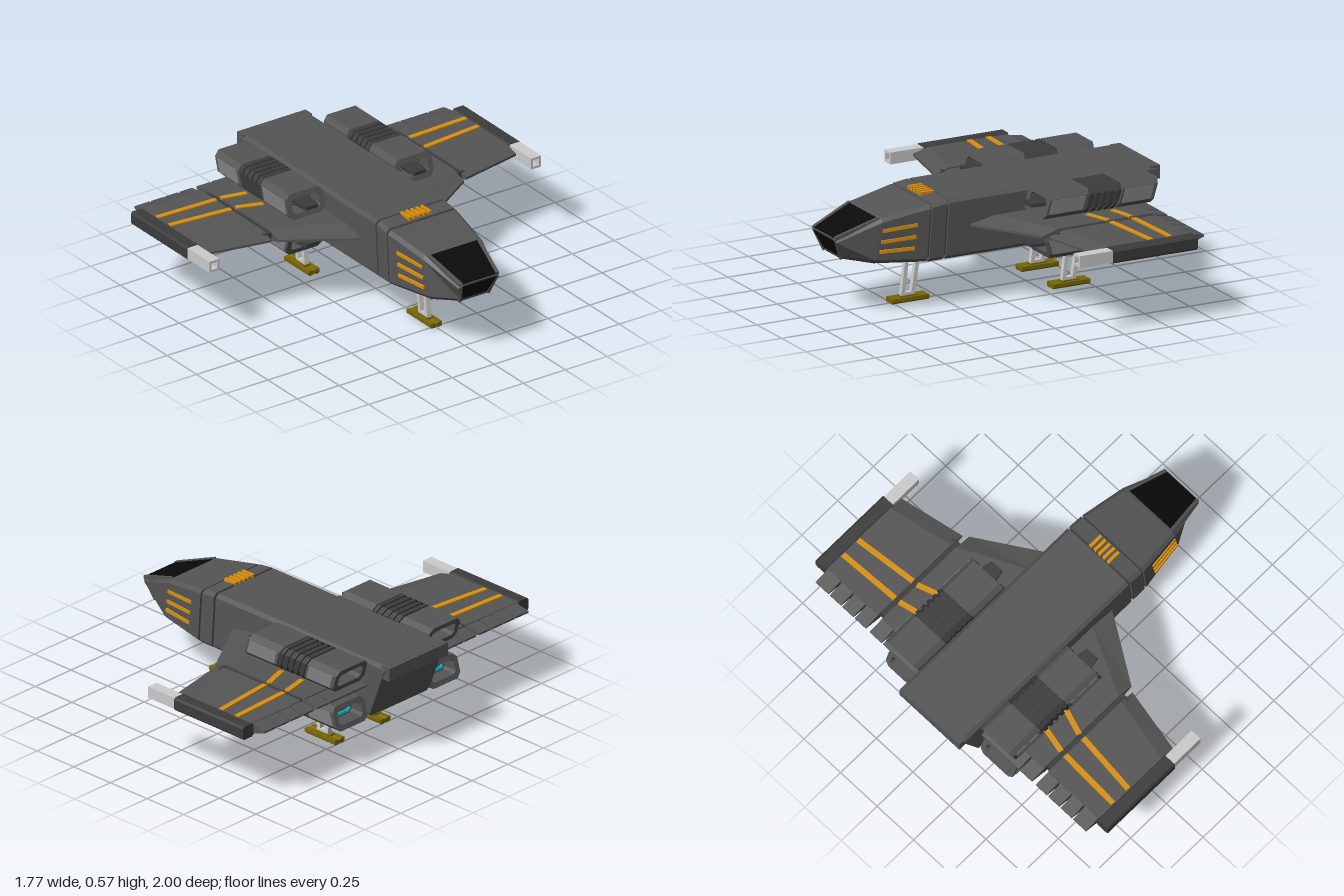
import * as THREE from 'three';

const mat = (color) => new THREE.MeshStandardMaterial({ color, flatShading: true });
const HULL = mat(0x555555), DARK = mat(0x3c3c3c), GLASS = mat(0x0a0a0a), LIGHT = mat(0xcccccc);
const PANEL = mat(0x808080), ORANGE = mat(0xd8900c), PAD = mat(0x7a6806), GLOW = mat(0x18a8c0);

export function createModel() {
  const model = new THREE.Group();

  const add = (name, geo, material, parent = model) => {
    const m = new THREE.Mesh(geo, material);
    m.name = name;
    parent.add(m);
    return m;
  };
  const box = (x0, x1, y0, y1, z0, z1) =>
    new THREE.BoxGeometry(x1 - x0, y1 - y0, Math.abs(z1 - z0))
      .translate((x0 + x1) / 2, (y0 + y1) / 2, (z0 + z1) / 2);

  // Bar running from a to b
  const beam = (a, b, h, w) => {
    const A = new THREE.Vector3(...a), B = new THREE.Vector3(...b);
    const d = B.clone().sub(A), len = d.length();
    const q = new THREE.Quaternion().setFromUnitVectors(new THREE.Vector3(1, 0, 0), d.normalize());
    const mid = A.add(B).multiplyScalar(0.5);
    return new THREE.BoxGeometry(len, h, w).applyQuaternion(q).translate(mid.x, mid.y, mid.z);
  };

  // Closed solid through matching cross-sections; turned outward by its signed volume
  const loft = (sections) => {
    const n = sections[0].length, tris = [];
    for (let s = 0; s < sections.length - 1; s++)
      for (let i = 0; i < n; i++) {
        const j = (i + 1) % n, P = sections[s], Q = sections[s + 1];
        tris.push([P[i], P[j], Q[j]], [P[i], Q[j], Q[i]]);
      }
    const first = sections[0], last = sections[sections.length - 1];
    for (let i = 1; i < n - 1; i++)
      tris.push([first[0], first[i + 1], first[i]], [last[0], last[i], last[i + 1]]);
    let vol = 0;
    const v = (p) => new THREE.Vector3(...p);
    tris.forEach(([a, b, c]) => { vol += v(a).dot(v(b).cross(v(c))); });
    if (vol < 0) tris.forEach((t) => t.reverse());
    const g = new THREE.BufferGeometry();
    g.setAttribute('position', new THREE.Float32BufferAttribute(tris.flat(2), 3));
    g.computeVertexNormals();
    return g;
  };

  // Bevelled hull section: top and bottom may sit at different x and width
  const ring = (xt, yt, xb, yb, wt, wb = wt, c = 0.018) => {
    const at = (y, z) => [xb + (xt - xb) * (y - yb) / (yt - yb), y, z];
    const half = [[yt, wt - c], [yt - c, wt], [yb + c, wb], [yb, wb - c]];
    return [...half.map(([y, z]) => at(y, z)), ...half.reverse().map(([y, z]) => at(y, -z))];
  };

  // Fuselage: main body, collar and tapered nose, with dark grooves between
  add('fuselage', loft([ring(-0.865, 0.555, -0.75, 0.25, 0.21), ring(0.292, 0.555, 0.312, 0.25, 0.21)]), HULL);
  add('tailLip', box(-0.885, -0.83, 0.485, 0.554, -0.205, 0.205), HULL);
  add('collar', loft([ring(0.305, 0.555, 0.325, 0.25, 0.21), ring(0.385, 0.545, 0.405, 0.25, 0.21)]), HULL);
  add('grooveCore', loft([ring(0.2, 0.54, 0.22, 0.262, 0.2), ring(0.44, 0.525, 0.46, 0.262, 0.2)]), DARK);
  add('nose', loft([
    ring(0.397, 0.541, 0.417, 0.252, 0.21),
    ring(0.645, 0.499, 0.685, 0.272, 0.178, 0.17),
    ring(0.88, 0.412, 0.825, 0.296, 0.12, 0.09),
  ]), HULL);

  // Cockpit glass on the nose slope and the lower front face
  add('windscreen', loft([
    [[0.655, 0.485, -0.14], [0.655, 0.485, 0.14], [0.657, 0.498, 0.14], [0.657, 0.498, -0.14]],
    [[0.872, 0.405, -0.1], [0.872, 0.405, 0.1], [0.876, 0.418, 0.1], [0.876, 0.418, -0.1]],
  ]), GLASS);
  add('lowerWindow', loft([
    [[0.86, 0.4, -0.1], [0.86, 0.4, 0.1], [0.88, 0.402, 0.1], [0.88, 0.402, -0.1]],
    [[0.82, 0.315, -0.075], [0.82, 0.315, 0.075], [0.838, 0.315, 0.075], [0.838, 0.315, -0.075]],
  ]), GLASS);
  for (const s of [-1, 1]) {
    add('windowRail', beam([0.65, 0.496, s * 0.15], [0.875, 0.413, s * 0.108], 0.018, 0.018), HULL);
    add('lowerWindowRail', beam([0.873, 0.41, s * 0.107], [0.826, 0.3, s * 0.084], 0.018, 0.016), HULL);
  }

  // Orange bars on the collar and the nose sides
  for (let i = -2; i <= 2; i++)
    add('collarBar', box(0.3, 0.375, 0.54, 0.565, i * 0.03 - 0.008, i * 0.03 + 0.008), ORANGE);
  for (const s of [-1, 1])
    for (const [x, y0, y1] of [[0.467, 0.45, 0.438], [0.475, 0.39, 0.382], [0.482, 0.333, 0.333]])
      add('noseBar', beam([x, y0, s * 0.202], [x + 0.18, y1, s * 0.177], 0.017, 0.014), ORANGE);

  // Wing section at z: flat top and bottom with a wedge-shaped leading edge
  const wingSection = (z, lead, bevel, t, b) => [
    [-0.65, t, z], [lead - bevel, t, z], [lead, 0.412, z], [lead, 0.4, z], [lead - bevel, b, z], [-0.65, b, z],
  ];
  const flap = (z0, z1) => loft([z0, z1].map((z) =>
    [[-0.65, 0.432, z], [-0.735, 0.418, z], [-0.735, 0.408, z], [-0.65, 0.38, z]]));

  for (const s of [-1, 1]) {
    const wing = new THREE.Group();
    wing.name = s > 0 ? 'frontSideWing' : 'backSideWing';
    model.add(wing);
    add('innerWing', loft([wingSection(s * 0.19, 0.19, 0.14, 0.438, 0.373),
      wingSection(s * 0.555, -0.04, 0.09, 0.438, 0.373)]), HULL, wing);
    add('wingJoint', box(-0.63, -0.1, 0.382, 0.428, s * 0.54, s * 0.6), DARK, wing);
    add('outerWing', loft([wingSection(s * 0.582, -0.06, 0.08, 0.436, 0.375),
      wingSection(s * 0.93, -0.13, 0.08, 0.434, 0.377)]), HULL, wing);

    // Trailing-edge flaps parted by narrow slits
    for (const [z0, z1] of [[0.2, 0.465], [0.475, 0.555], [0.582, 0.657], [0.667, 0.742], [0.752, 0.827], [0.837, 0.925]])
      add('flap', flap(s * z0, s * z1), HULL, wing);

    // Painted stripes
    for (const [a, b, c] of [[-0.545, -0.53, -0.5], [-0.44, -0.405, -0.36]]) {
      add('wingStripe', beam([a, 0.435, s * 0.925], [b, 0.437, s * 0.582], 0.01, 0.028), ORANGE, wing);
      add('wingStripe', beam([b, 0.438, s * 0.555], [c, 0.438, s * 0.42], 0.01, 0.028), ORANGE, wing);
    }

    // Tip pod with a square gun barrel
    const pod = (x, h) => [[0.44 - h, 0.925], [0.44, 0.935], [0.44, 0.99], [0.44 - h, 1],
      [0.37 + h, 1], [0.37, 0.99], [0.37, 0.935], [0.37 + h, 0.925]].map(([y, z]) => [x, y, s * z]);
    add('wingTipPod', loft([pod(-0.66, 0.01), pod(-0.19, 0.01)]), DARK, wing);
    const barrel = new THREE.Shape([[-0.03, -0.03], [0.03, -0.03], [0.03, 0.03], [-0.03, 0.03]].map((p) => new THREE.Vector2(...p)));
    barrel.holes.push(new THREE.Path([[-0.018, -0.018], [-0.018, 0.018], [0.018, 0.018], [0.018, -0.018]].map((p) => new THREE.Vector2(...p))));
    add('gunBarrel', new THREE.ExtrudeGeometry(barrel, { depth: 0.2, bevelEnabled: false })
      .rotateY(Math.PI / 2).translate(-0.205, 0.405, s * 0.963), LIGHT, wing);
    add('gunCore', box(-0.2, -0.06, 0.385, 0.425, s * 0.943, s * 0.983), DARK, wing);
  }

  // Engines: two per side, above and below the wing
  const octagon = (w, h, c) => [[w, h - c], [w - c, h], [c - w, h], [-w, h - c], [-w, c - h], [c - w, -h], [w - c, -h], [w, c - h]]
    .map((p) => new THREE.Vector2(...p));
  const tube = (outer, inner, x0, x1) => {
    const shape = new THREE.Shape(outer);
    if (inner) shape.holes.push(new THREE.Path(inner));
    return new THREE.ExtrudeGeometry(shape, { depth: x1 - x0, bevelEnabled: false })
      .rotateY(Math.PI / 2).translate(x0, 0, 0);
  };
  for (const s of [-1, 1])
    for (const up of [-1, 1]) {
      const engine = new THREE.Group();
      engine.name = up > 0 ? 'upperEngine' : 'lowerEngine';
      engine.position.set(0, up > 0 ? 0.508 : 0.303, s * 0.325);
      model.add(engine);
      // Lean the ends outward away from the wing
      const lean = new THREE.Matrix4().set(1, -0.3 * up, 0, 0, 0, 1, 0, 0, 0, 0, 1, 0, 0, 0, 0, 1);
      const part = (name, geo, m) => add(name, geo.applyMatrix4(lean), m, engine);
      const shell = octagon(0.11, 0.062, 0.025), mouth = octagon(0.082, 0.036, 0.014);
      part('engineRearShell', tube(shell, mouth, -0.735, -0.54), HULL);
      part('engineFrontShell', tube(shell, mouth, -0.35, -0.135), HULL);
      part('engineCore', tube(octagon(0.1, 0.053, 0.025), null, -0.66, -0.22).scale(1, 0.72, 0.82), DARK);
      part('engineWaist', tube(octagon(0.102, 0.054, 0.025), null, -0.545, -0.345), DARK);
      for (let i = 0; i < 5; i++)
        part('engineRib', tube(shell, null, -0.53 + i * 0.038, -0.508 + i * 0.038), DARK);
      for (const [x0, x1] of [[-0.672, -0.658], [-0.222, -0.208]])
        part('engineGlow', tube(octagon(0.066, 0.024, 0.012), octagon(0.054, 0.013, 0.006), x0, x1), GLOW);
      for (const [x0, x1] of [[-0.715, -0.555], [-0.335, -0.15]])
        part('enginePanel', box(x0, x1, -0.035, 0.035, s * 0.1, s * 0.113), PANEL);
      add('intakeBlade', loft([-0.009, 0.009].map((y) =>
        [[-0.23, y, -0.045], [-0.125, y, -0.045], [-0.08, y, -0.036], [-0.08, y, 0.036], [-0.125, y, 0.045], [-0.23, y, 0.045]])), DARK, engine);
      add('enginePylon', box(-0.53, -0.36, -up * 0.09 - 0.03, -up * 0.09 + 0.06, -s * 0.13, s * 0.06).translate(0, up > 0 ? 0.02 : -0.03, 0), DARK, engine);
    }

  // Landing gear: slanted twin-strut legs on split pads
  for (const [x, z] of [[0.41, 0], [-0.4, 0.16], [-0.4, -0.16]]) {
    const gear = new THREE.Group();
    gear.name = 'landingLeg';
    gear.position.set(x, 0, z);
    model.add(gear);
    add('rearStrut', beam([-0.06, 0.27, 0], [-0.022, 0.03, 0], 0.02, 0.026), LIGHT, gear);
    add('frontStrut', beam([0.002, 0.27, 0], [0.033, 0.03, 0], 0.02, 0.026), LIGHT, gear);
    add('strutFoot', box(-0.03, 0.042, 0.03, 0.045, -0.013, 0.013), LIGHT, gear);
    add('strutTop', box(-0.064, 0.012, 0.225, 0.25, -0.013, 0.013), LIGHT, gear);
    add('padBridge', box(-0.05, 0.05, 0.006, 0.032, -0.02, 0.02), PAD, gear);
    for (const s of [-1, 1]) {
      const rail = (px) => [[0, 0.007], [0, 0.027], [0.008, 0.034], [0.026, 0.034], [0.026, 0.007], [0.018, 0], [0.007, 0]]
        .map(([y, zz]) => [px, y + 0.003 - 0.003, s * zz]);
      add('padRail', loft([rail(-0.103), rail(0.103)]), PAD, gear);
    }
  }
  return model;
}
